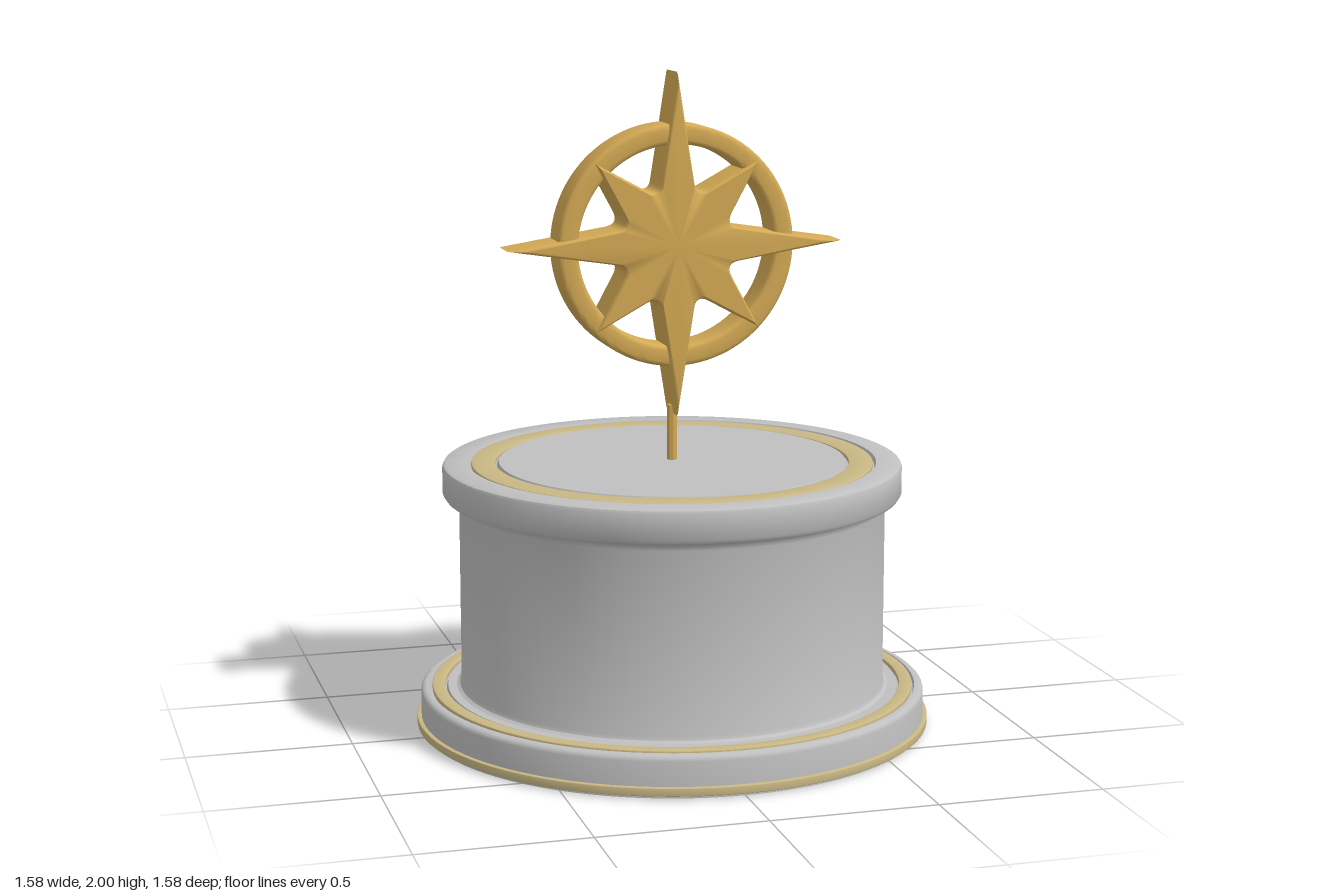
import * as THREE from 'three';
import { toCreasedNormals } from 'three/addons/utils/BufferGeometryUtils.js';

const CENTRE_Y = 1.482;

// Turned solid from [radius, height] pairs, listed anticlockwise
function turned(pairs, segments = 96) {
  const points = pairs.map(([r, y]) => new THREE.Vector2(r, y));
  return toCreasedNormals(new THREE.LatheGeometry(points, segments), 0.6);
}

// Ring with a rounded rectangular section
function ringGeometry(inner, outer, y0, y1, round) {
  const pairs = [];
  const corners = [
    [outer - round, y0 + round, -90], [outer - round, y1 - round, 0],
    [inner + round, y1 - round, 90], [inner + round, y0 + round, 180],
  ];
  for (const [r, y, start] of corners) {
    for (let k = 0; k <= 3; k++) {
      const a = THREE.MathUtils.degToRad(start + k * 30);
      pairs.push([r + round * Math.cos(a), y + round * Math.sin(a)]);
    }
  }
  pairs.push(pairs[0]);
  return turned(pairs);
}

// Eight-pointed outline with rounded valleys, shrunk by an inset
function starOutline(inset) {
  const polar = (r, a) => new THREE.Vector2(r * Math.cos(a), r * Math.sin(a));
  const tip = (k) => polar(k % 2 ? 0.36 - inset * 2.4 : 0.518 - inset * 6, k * Math.PI / 4);
  const out = [];
  for (let k = 0; k < 8; k++) {
    const a = tip(k), b = tip(k + 1);
    const lean = k % 2 ? 0.02 : -0.02;
    const valley = polar(0.158 - inset, (k + 0.5) * Math.PI / 4 + lean);
    const curve = new THREE.QuadraticBezierCurve(
      valley.clone().lerp(a, 0.12), valley, valley.clone().lerp(b, 0.22));
    if (k % 2) {
      curve.v0 = valley.clone().lerp(a, 0.22);
      curve.v2 = valley.clone().lerp(b, 0.12);
    }
    out.push(a, ...curve.getPoints(6));
  }
  return out;
}

// Star body lofted from back to front with rounded edges
function starGeometry() {
  const half = 0.077, bevel = 0.024, size = 0.01, steps = 3;
  const layers = [];
  for (let k = 0; k <= steps; k++) {
    const a = (k / steps) * Math.PI / 2;
    layers.push([half - bevel + bevel * Math.sin(a), size * (1 - Math.cos(a))]);
  }
  const rows = [...layers.map(([z, d]) => [-z, d]).reverse(), ...layers];
  const position = [], index = [];
  let n = 0;
  for (const [z, inset] of rows) {
    const outline = starOutline(inset);
    n = outline.length;
    for (const p of outline) position.push(p.x, p.y, z);
  }
  const back = rows.length * n, front = back + 1;
  position.push(0, 0, -half, 0, 0, half);
  for (let i = 0; i < n; i++) {
    const j = (i + 1) % n;
    for (let l = 0; l < rows.length - 1; l++) {
      const a = l * n + i, b = l * n + j;
      index.push(a, b, b + n, a, b + n, a + n);
    }
    const last = (rows.length - 1) * n;
    index.push(front, last + i, last + j, back, j, i);
  }
  const geometry = new THREE.BufferGeometry();
  geometry.setAttribute('position', new THREE.Float32BufferAttribute(position, 3));
  geometry.setIndex(index);
  return toCreasedNormals(geometry, 0.6);
}

export function createModel() {
  const silver = new THREE.MeshStandardMaterial({ color: 0xc0c0c0 });
  silver.name = 'silver';
  const paleGold = new THREE.MeshStandardMaterial({ color: 0xc9b885 });
  paleGold.name = 'pale gold';
  const gold = new THREE.MeshStandardMaterial({ color: 0xd4aa55 });
  gold.name = 'gold';

  const model = new THREE.Group();
  model.name = 'trophy';
  const add = (name, geometry, material, parent = model) => {
    const mesh = new THREE.Mesh(geometry, material);
    mesh.name = name;
    parent.add(mesh);
    return mesh;
  };

  // Foot with a shallow channel for its inlay
  add('foot', turned([
    [0, 0], [0.775, 0], [0.775, 0.108], [0.773, 0.116], [0.767, 0.122], [0.758, 0.125],
    [0.748, 0.125], [0.744, 0.115], [0.696, 0.115], [0.692, 0.125], [0.6, 0.125],
  ]), silver);
  add('footBand', ringGeometry(0.76, 0.788, 0.009, 0.034, 0.002), paleGold);
  add('footInlay', ringGeometry(0.7, 0.74, 0.105, 0.129, 0.003), paleGold);

  // Drum flaring into the cap
  add('drum', turned([
    [0.665, 0.125], [0.655, 0.131], [0.65, 0.142], [0.65, 0.69], [0.653, 0.702],
    [0.661, 0.711], [0.673, 0.715],
  ]), silver);

  // Cap with a channel for its inlay
  add('cap', turned([
    [0.64, 0.715], [0.68, 0.715], [0.692, 0.719], [0.7, 0.731], [0.7, 0.806],
    [0.696, 0.815], [0.687, 0.82], [0.622, 0.82], [0.616, 0.808], [0.534, 0.808],
    [0.528, 0.82], [0, 0.82],
  ]), silver);
  add('capInlay', ringGeometry(0.538, 0.612, 0.8, 0.819, 0.003), paleGold);

  // Stem holding the emblem
  const stem = add('stem', toCreasedNormals(
    new THREE.CylinderGeometry(0.016, 0.016, 0.18, 8), 0.5), gold);
  stem.position.y = 0.9;

  // Emblem: star through a ring
  const emblem = new THREE.Group();
  emblem.name = 'emblem';
  emblem.position.y = CENTRE_Y;
  model.add(emblem);
  add('star', starGeometry(), gold, emblem);
  const ring = add('starRing', ringGeometry(0.303, 0.365, -0.063, 0.063, 0.014), gold, emblem);
  ring.rotation.x = Math.PI / 2;

  return model;
}
